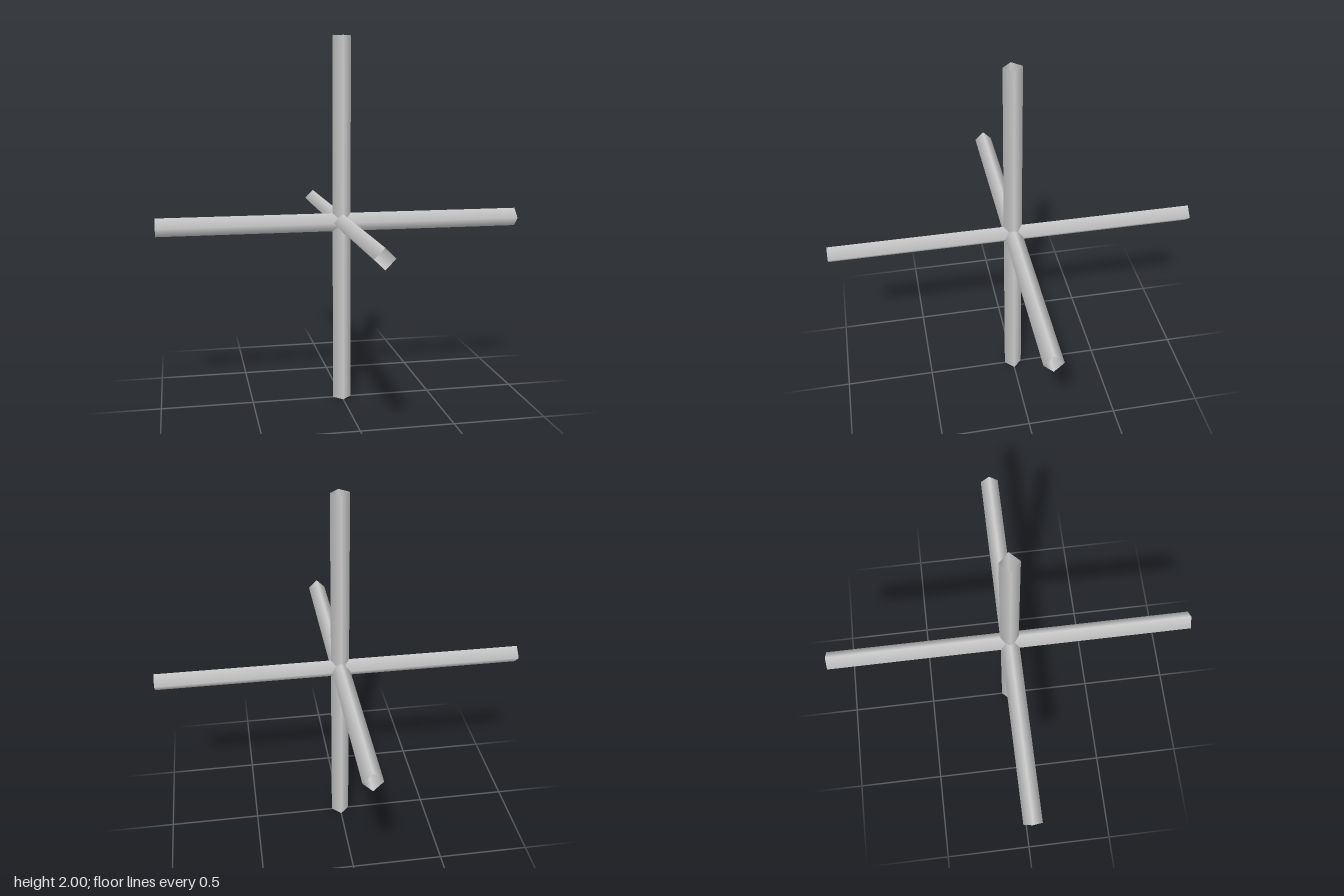
import * as THREE from 'three';

export function createModel() {
  const model = new THREE.Group();
  model.name = 'axisCross';
  const material = new THREE.MeshStandardMaterial({ color: 0xcccccc, side: THREE.DoubleSide });

  // Open four-sided tube with its ridges on the axes, smooth shaded
  const tube = new THREE.CylinderGeometry(0.05, 0.05, 2, 4, 1, true);

  // One tube along each axis, crossing at the centre
  const bars = [
    ['verticalBar', 0, 0],
    ['sidewaysBar', 0, -Math.PI / 2],
    ['lengthwiseBar', Math.PI / 2, 0],
  ];
  for (const [name, rx, rz] of bars) {
    const bar = new THREE.Mesh(tube, material);
    bar.name = name;
    bar.rotation.set(rx, 0, rz);
    bar.position.y = 1;
    model.add(bar);
  }
  return model;
}
